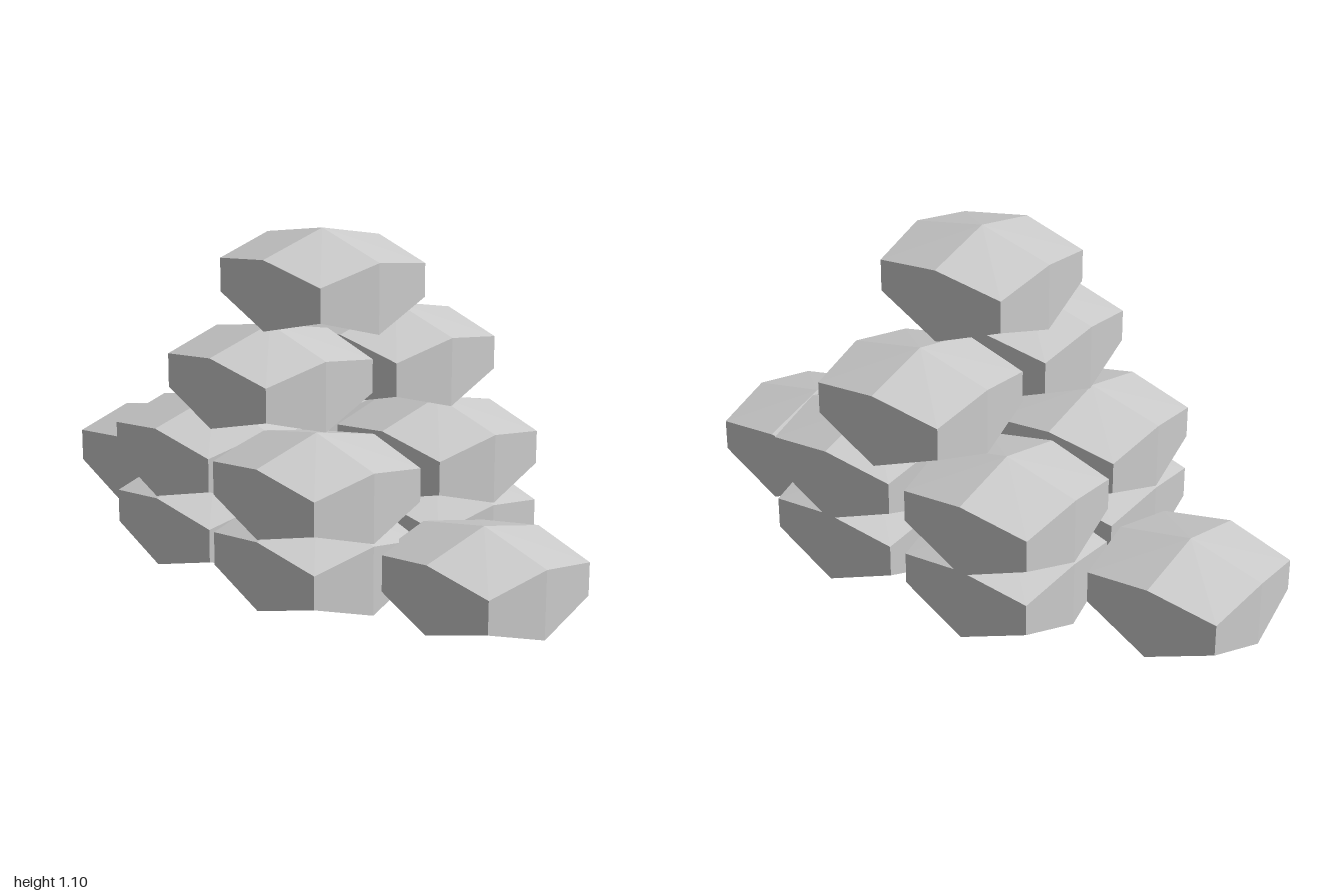
import * as THREE from 'three';

// Low-poly boulder: eight-sided plan, upright sides, fanned dome above and below
function stoneGeometry() {
  const ring = [];
  for (let i = 0; i < 8; i++) {
    const a = (i * Math.PI) / 4;
    const c = Math.round(Math.cos(a)), s = Math.round(Math.sin(a));
    const corner = i % 2 === 1;
    ring.push({
      x: c * (corner ? 0.23 : 0.255),
      z: s * (corner ? 0.213 : 0.236),
      top: corner ? 0.207 : 0.25,
      bottom: corner ? 0.1 : i === 6 ? 0.005 : 0.028,
    });
  }
  const positions = [0, 0.31, 0, 0, 0.02, 0];
  for (const p of ring) positions.push(p.x, p.top, p.z, p.x, p.bottom, p.z);
  const index = [];
  for (let i = 0; i < 8; i++) {
    const t = 2 + i * 2, b = t + 1;
    const tn = 2 + ((i + 1) % 8) * 2, bn = tn + 1;
    index.push(0, tn, t); // top fan
    index.push(1, b, bn); // bottom fan
    index.push(t, tn, bn, t, bn, b); // side
  }
  const geo = new THREE.BufferGeometry();
  geo.setAttribute('position', new THREE.Float32BufferAttribute(positions, 3));
  geo.setIndex(index);
  const flat = geo.toNonIndexed();
  flat.computeVertexNormals();
  return flat;
}

export function createModel() {
  const model = new THREE.Group();
  model.name = 'stonePile';
  const material = new THREE.MeshStandardMaterial({ color: 0xcccccc, flatShading: true });
  const geometry = stoneGeometry();

  // Adds one named course of stones, each placed by its [x, y, z] foot
  const addCourse = (name, feet) => {
    const course = new THREE.Group();
    course.name = name;
    feet.forEach(([x, y, z], i) => {
      const stone = new THREE.Mesh(geometry, material);
      stone.name = `${name}Stone${i + 1}`;
      stone.position.set(x, y, z);
      course.add(stone);
    });
    model.add(course);
  };

  // Four stones in a square, repeated for the two lower courses
  const square = (y) => [
    [-0.2, y, 0.253], [0.283, y, 0.253],
    [-0.238, y, -0.253], [0.283, y, -0.253],
  ];

  addCourse('outer', [[-0.745, 0, 0], [0.743, 0, 0]]);
  addCourse('bottomCourse', square(0));
  addCourse('secondCourse', square(0.23));
  addCourse('thirdCourse', [[0.048, 0.512, 0.233], [0.09, 0.496, -0.253]]);
  addCourse('topCourse', [[0.087, 0.79, 0.055]]);
  return model;
}
